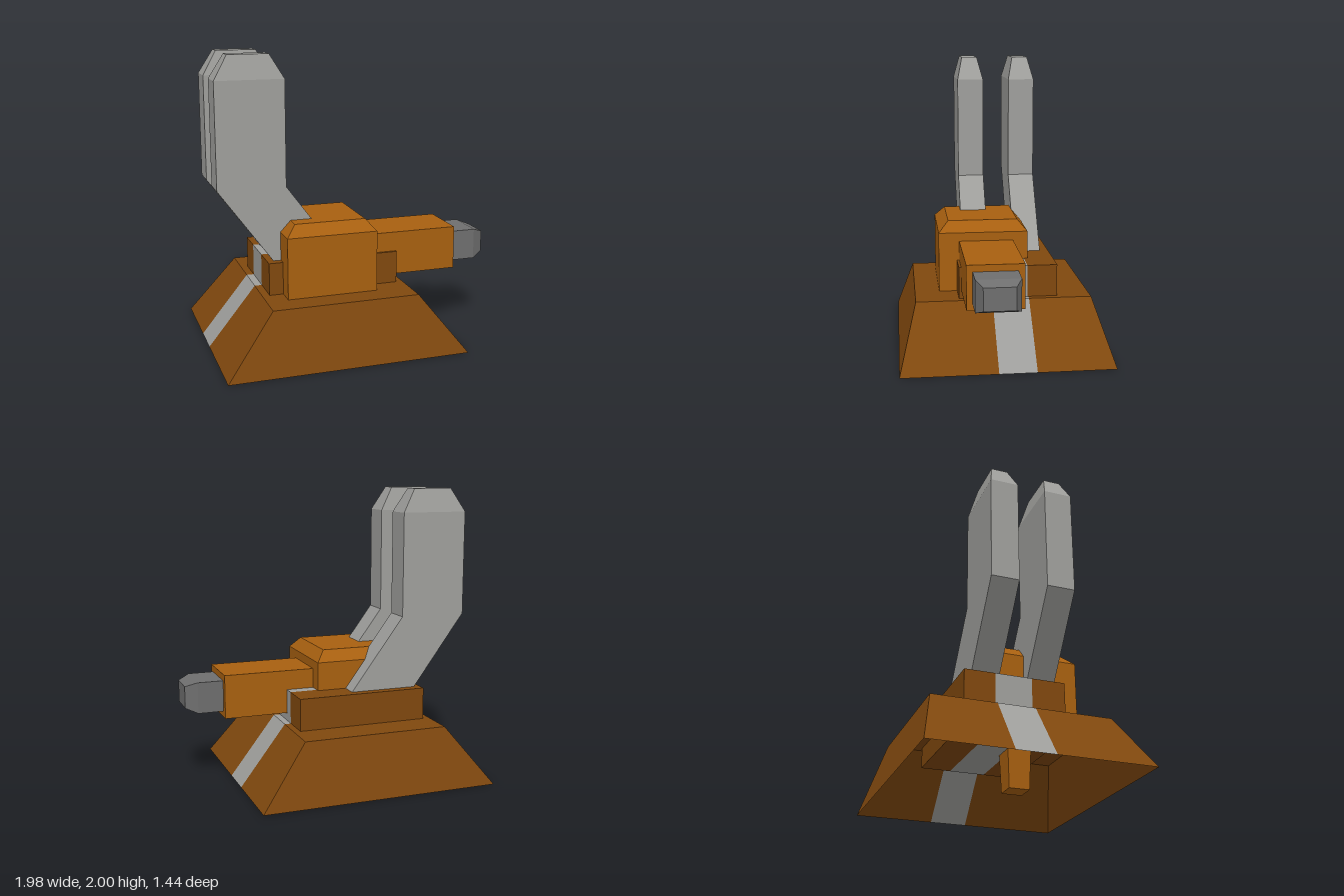
import * as THREE from 'three';

const mat = (name, color, side = THREE.FrontSide) => {
  const m = new THREE.MeshStandardMaterial({ color, side });
  m.name = name;
  return m;
};

// Flat-faced loft through rectangles [y, x0, x1, z0, z1]; sides: 0 front, 1 right, 2 back, 3 left
function loft(sections, sides = [0, 1, 2, 3], bottom = true, top = true) {
  const rings = sections.map(([y, x0, x1, z0, z1]) =>
    [[x0, y, z1], [x1, y, z1], [x1, y, z0], [x0, y, z0]]);
  const pos = [];
  const quad = (a, b, c, d) => pos.push(...a, ...b, ...c, ...a, ...c, ...d);
  for (let r = 0; r < rings.length - 1; r++) {
    const a = rings[r], b = rings[r + 1];
    for (const i of sides) {
      const j = (i + 1) % 4;
      quad(a[i], a[j], b[j], b[i]);
    }
  }
  const end = rings[rings.length - 1];
  if (top) quad(end[0], end[1], end[2], end[3]);
  if (bottom) quad(rings[0][3], rings[0][2], rings[0][1], rings[0][0]);
  const g = new THREE.BufferGeometry();
  g.setAttribute('position', new THREE.Float32BufferAttribute(pos, 3));
  g.computeVertexNormals();
  return g;
}

// Loft along +x through rectangles [x, y0, y1, z0, z1]
const loftX = (sections) =>
  loft(sections.map(([x, y0, y1, z0, z1]) => [x, -y1, -y0, z0, z1])).rotateZ(-Math.PI / 2);

export function createModel() {
  const model = new THREE.Group();
  model.name = 'turret';
  const brown = mat('dark brown', 0x80480e, THREE.DoubleSide);
  const orange = mat('orange brown', 0xa86010);
  const grey = mat('light grey', 0x9f9f9c, THREE.DoubleSide);
  const dark = mat('dark grey', 0x6e6e6e);

  const add = (name, geometry, material) => {
    const mesh = new THREE.Mesh(geometry, material);
    mesh.name = name;
    model.add(mesh);
  };

  // Block cut along z into brown front, grey stripe and brown back
  const striped = (name, sections, stripe, bottom) => {
    const cut = (z0, z1) => sections.map(([y, x0, x1, b, f], i) =>
      [y, x0, x1, z0 ? stripe[i][z0 - 1] : b, z1 ? stripe[i][z1 - 1] : f]);
    add(name + 'Front', loft(cut(2, 0), [0, 1, 3], bottom), brown);
    add(name + 'Stripe', loft(cut(1, 2), [1, 3], bottom), grey);
    add(name + 'Back', loft(cut(0, 1), [1, 2, 3], bottom), brown);
  };

  // Hollow sloped base, open underneath, and the plinth set into its top
  striped('base', [[0, -0.99, 0.655, -0.72, 0.72], [0.41, -0.665, 0.335, -0.6, 0.6]],
    [[-0.185, 0.07], [-0.17, 0.08]], false);
  striped('plinth', [[0.27, -0.615, 0.29, -0.37, 0.305], [0.63, -0.615, 0.29, -0.37, 0.305]],
    [[-0.165, 0.08], [-0.165, 0.08]], true);

  // Chamfered body with the pivot post below it
  add('body', loft([
    [0.41, -0.52, 0.1, -0.19, 0.43],
    [0.825, -0.52, 0.1, -0.19, 0.43],
    [0.9, -0.45, 0.037, -0.125, 0.36],
  ]), orange);
  add('pivotPost', loft([
    [0.01, -0.28, -0.14, 0.05, 0.19],
    [0.41, -0.295, -0.125, 0.035, 0.205],
  ]), orange);

  // Gun housing and muzzle
  add('gunHousing', loftX([[0.05, 0.465, 0.765, -0.088, 0.288], [0.73, 0.465, 0.765, -0.088, 0.288]]), orange);
  add('muzzle', loftX([
    [0.73, 0.507, 0.72, -0.043, 0.248],
    [0.905, 0.507, 0.72, -0.043, 0.248],
    [0.985, 0.54, 0.69, 0, 0.205],
  ]), dark);

  // Pair of bent upright fins
  for (const [name, z] of [['frontFin', 0.157], ['backFin', -0.217]]) {
    add(name, loft([
      [0.28, -0.315, 0.155, z - 0.093, z + 0.093],
      [1.13, -0.937, -0.475, z - 0.093, z + 0.093],
      [1.84, -0.937, -0.475, z - 0.093, z + 0.093],
      [2, -0.842, -0.568, z - 0.055, z + 0.055],
    ]), grey);
  }
  return model;
}
